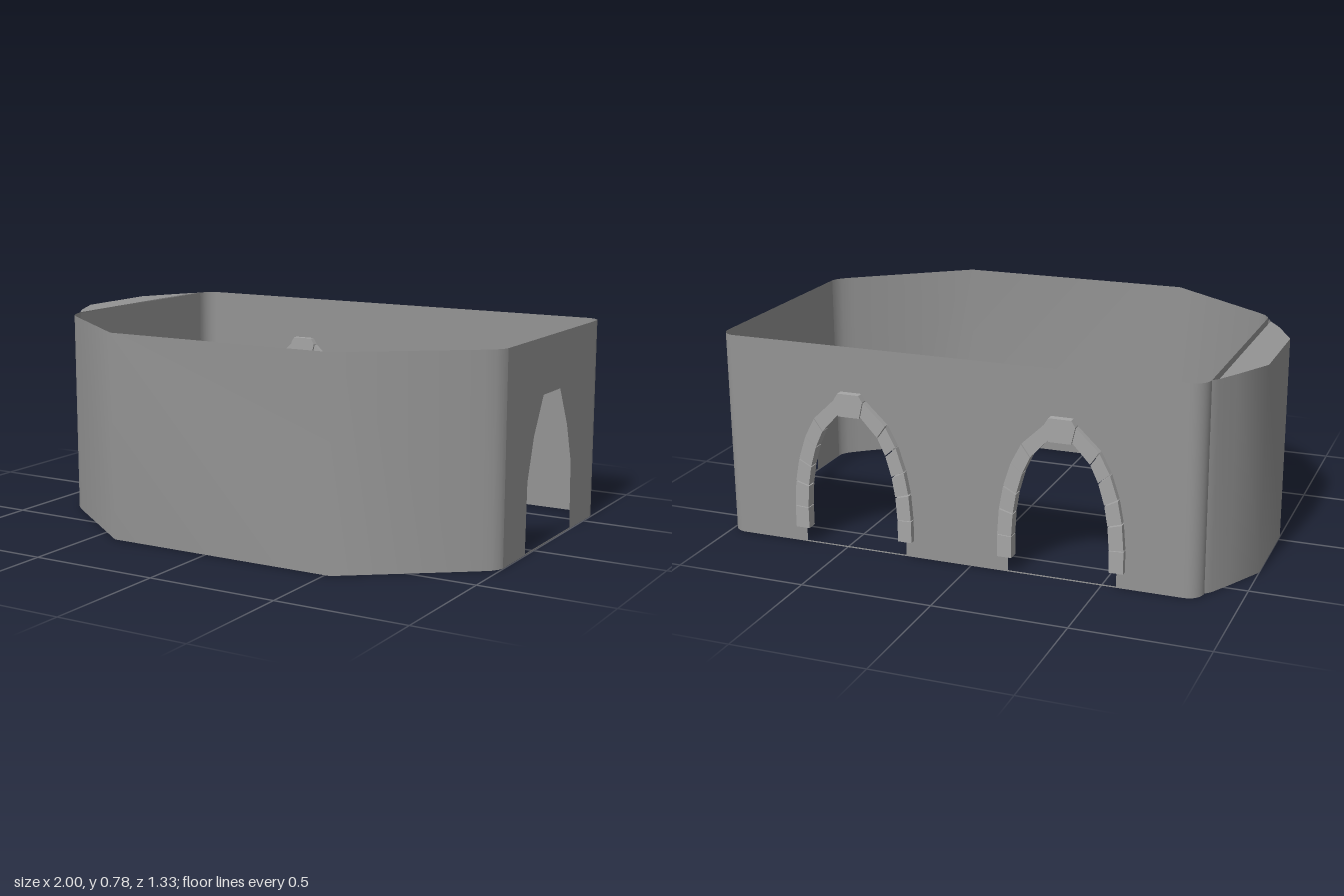
import * as THREE from 'three';

const H = 0.783;
const LEFT = -0.86, RIGHT = 0.997, BACK = -0.636, SIDE_END = 0.27, R = 0.06;

const plaster = new THREE.MeshStandardMaterial({ color: 0x949494, side: THREE.DoubleSide });
const stone = new THREE.MeshStandardMaterial({ color: 0xa6a6a6, flatShading: true });

function add(parent, geometry, material, name) {
  const mesh = new THREE.Mesh(geometry, material);
  mesh.name = name;
  parent.add(mesh);
  return mesh;
}

// Upright strip following [x, z] points, with smooth normals
function ribbon(path) {
  const pos = [], index = [];
  path.forEach(([x, z], i) => {
    pos.push(x, 0, z, x, H, z);
    if (i) {
      const a = 2 * (i - 1);
      index.push(a, a + 2, a + 1, a + 1, a + 2, a + 3);
    }
  });
  const g = new THREE.BufferGeometry();
  g.setAttribute('position', new THREE.Float32BufferAttribute(pos, 3));
  g.setIndex(index);
  g.computeVertexNormals();
  return g;
}

function polygon(points) {
  return new THREE.Shape(points.map(([x, y]) => new THREE.Vector2(x, y)));
}

function panel(x0, x1, holes) {
  const shape = polygon([[x0, 0], [x1, 0], [x1, H], [x0, H]]);
  shape.holes.push(...holes);
  return new THREE.ShapeGeometry(shape);
}

// Quarter-round corner between two walls
function corner(cx, cz, from) {
  return ribbon(Array.from({ length: 9 }, (_, i) => {
    const a = from - (i / 8) * Math.PI / 2;
    return [cx + R * Math.cos(a), cz + R * Math.sin(a)];
  }));
}

const SPRING = 0.13;
const outer = t => [0.237 * Math.cos(t), SPRING + 0.47 * Math.sin(t)];
const inner = t => [0.183 * Math.cos(t), SPRING + 0.412 * Math.sin(t)];

// Opening whose edge lies hidden behind the arch stones
function archHole(cx) {
  const pts = [[cx - 0.205, 0.005], [cx + 0.205, 0.005]];
  for (let i = 0; i <= 20; i++) {
    const t = (i / 20) * Math.PI;
    pts.push([cx + 0.205 * Math.cos(t), SPRING + 0.435 * Math.sin(t)]);
  }
  return polygon(pts);
}

function block(points, z0, z1) {
  const g = new THREE.ExtrudeGeometry(polygon(points), { depth: z1 - z0, bevelEnabled: false });
  g.translate(0, 0, z0);
  return g;
}

// Ring of wedge stones with a projecting keystone
function stoneArch(cx) {
  const arch = new THREE.Group();
  arch.name = 'stoneArch';
  const joints = [0.04, 0.26, 0.46, 0.69, 0.92, 1.33];
  const gap = 0.006;
  for (const s of [-1, 1]) {
    const mirror = pts => pts.map(([x, y]) => [s * x, y]);
    add(arch, block(mirror([[0.183, 0.065], [0.237, 0.065], outer(0.04), inner(0.04)]), -0.66, -0.618), stone, 'footStone');
    for (let i = 0; i < joints.length - 1; i++) {
      const a = joints[i] + gap, b = joints[i + 1] - gap;
      add(arch, block(mirror([inner(a), outer(a), outer(b), inner(b)]), -0.66, -0.618), stone, 'archStone');
    }
  }
  add(arch, block([[-0.042, 0.525], [0.042, 0.525], [0.057, 0.588], [0.042, 0.612],
    [-0.042, 0.612], [-0.057, 0.588]], -0.664, -0.612), stone, 'keystone');
  arch.position.x = cx;
  return arch;
}

export function createModel() {
  const model = new THREE.Group();
  model.name = 'walledRoom';
  const arches = [-0.35, 0.4625];

  // Back wall with two arched openings
  const back = add(model, panel(LEFT + R, RIGHT - R, arches.map(archHole)), plaster, 'backWall');
  back.position.z = BACK;
  arches.forEach(x => model.add(stoneArch(x)));

  // Side wall with the faceted doorway, drawn with -z as its width
  const door = polygon([[-0.075, 0.005], [0.36, 0.005], [0.35, 0.27], [0.3, 0.42],
    [0.22, 0.57], [0.06, 0.57], [-0.02, 0.43], [-0.07, 0.27]]);
  const side = panel(-SIDE_END, -BACK - R, [door]);
  side.rotateY(Math.PI / 2);
  add(model, side, plaster, 'doorWall').position.x = RIGHT;

  // Plain side wall and rounded back corners
  add(model, ribbon([[LEFT, BACK + R], [LEFT, SIDE_END]]), plaster, 'plainWall');
  add(model, corner(LEFT + R, BACK + R, -Math.PI / 2), plaster, 'backRightCorner');
  add(model, corner(RIGHT - R, BACK + R, 0), plaster, 'backLeftCorner');

  // Front wall with slanted ends and softened corners
  add(model, ribbon([[LEFT, SIDE_END], [-0.858, 0.305], [-0.84, 0.335], [-0.81, 0.362], [-0.41, 0.663],
    [0.52, 0.663], [0.94, 0.345], [0.975, 0.315], [0.992, 0.29], [RIGHT, SIDE_END]]), plaster, 'frontWall');

  // Shallow faceted bay outside the plain wall, roofed and open below
  const bay = [[-0.88, -0.555], [-0.925, -0.475], [-1, -0.33], [-1, 0.03], [-0.93, 0.175], [-0.88, 0.25]];
  add(model, ribbon([[LEFT, BACK + R], ...bay, [LEFT, 0.3]]), plaster, 'bayWall');
  const roof = new THREE.ShapeGeometry(polygon(bay.map(([x, z]) => [x, -z])));
  roof.rotateX(-Math.PI / 2);
  add(model, roof, plaster, 'bayRoof').position.y = H;
  return model;
}
